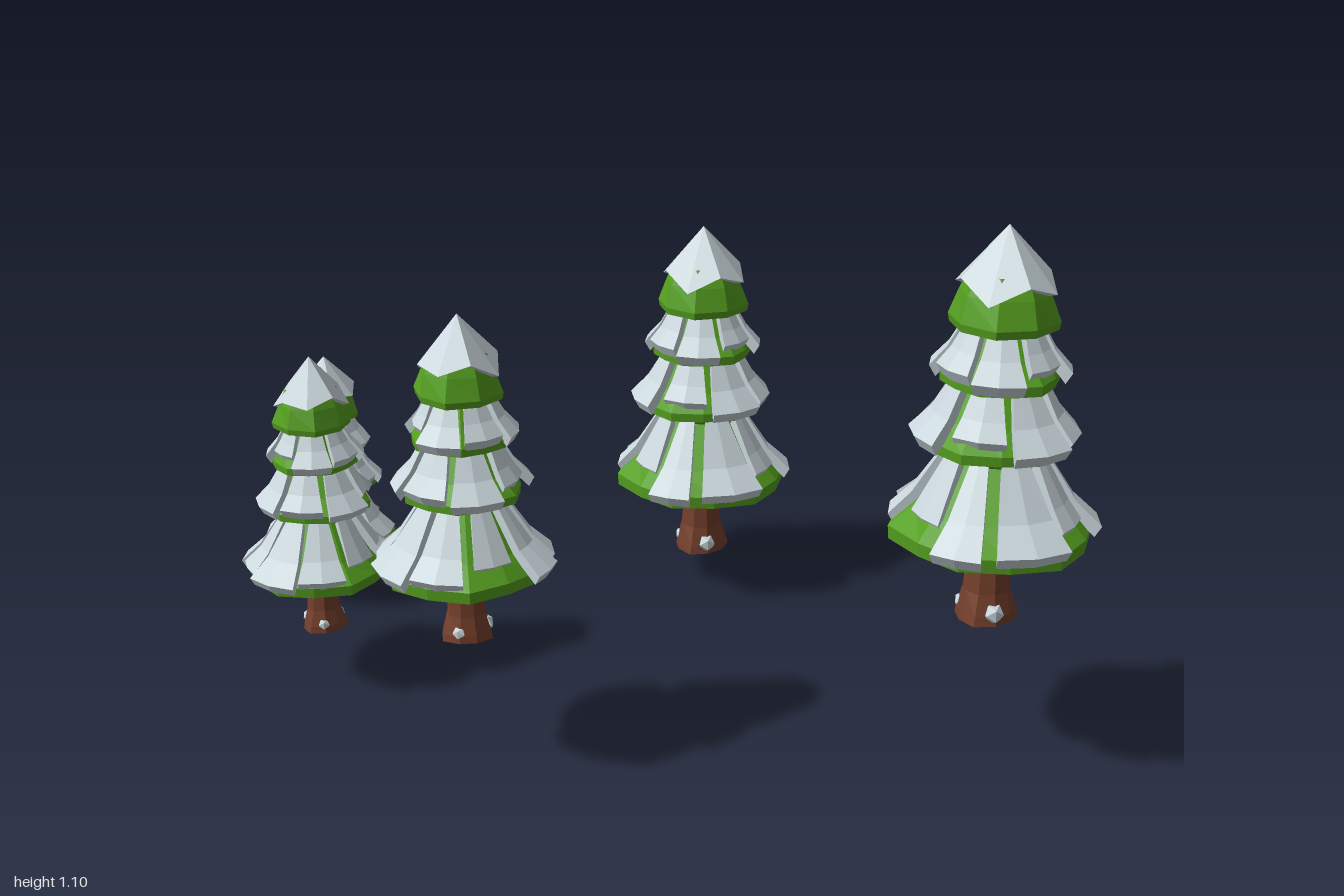
import * as THREE from 'three';

const mat = (name, color) => Object.assign(new THREE.MeshStandardMaterial({ color }), { name });
const SNOW = mat('snow', 0xcad7dc);
const LEAF = mat('needleGreen', 0x559f1f);
const BARK = mat('barkBrown', 0x743f2b);

const rad = THREE.MathUtils.degToRad;
// Point at angle a (degrees from +z towards +x), radius r and height y
const polar = (a, r, y) => [r * Math.sin(rad(a)), y, r * Math.cos(rad(a))];
// Corners: top left, bottom left, bottom right, top right as seen from outside
const quad = (out, a, b, c, d) => out.push(...a, ...b, ...c, ...a, ...c, ...d);

function flatMesh(name, positions, material) {
  const g = new THREE.BufferGeometry();
  g.setAttribute('position', new THREE.Float32BufferAttribute(positions, 3));
  g.computeVertexNormals();
  const m = new THREE.Mesh(g, material);
  m.name = name;
  return m;
}

// Tiers in units of tree height: three slope stations [radius, height], and the rim height
const TIERS = [
  { slope: [[0.105, 0.43], [0.185, 0.31], [0.25, 0.25]], rim: 0.215, turn: 0 },
  { slope: [[0.085, 0.63], [0.14, 0.535], [0.185, 0.485]], rim: 0.46, turn: 52 },
  { slope: [[0.06, 0.78], [0.11, 0.69], [0.148, 0.645]], rim: 0.62, turn: 118 },
];
// Snow flaps: [angle, half width, reach]
const LOWER_FLAPS = [[0, 13, 1.05], [42, 21, 1], [84, 15, 0.8], [123, 20, 1], [164, 19, 1.02],
  [201, 14, 0.97], [236, 20, 1.04], [277, 19, 0.94], [322, 17, 0.74]];
const UPPER_FLAPS = [[0, 22, 1.05], [52, 25, 1], [105, 21, 0.82], [155, 24, 1.04],
  [207, 23, 0.95], [258, 22, 1.05], [311, 22, 0.86]];
const WOBBLE = [1, 0.95, 1.02, 0.97, 1.03, 0.94];

// Green skirt: sloping top, upright rim, hollow underside
function skirt(out, { slope, rim, turn }) {
  const outer = slope[2][0] * 0.98;
  const rings = [...slope.slice(0, 2), [outer, slope[2][1]], [outer * 0.99, rim], [outer * 0.55, rim + 0.045], [0.03, rim + 0.07]];
  const n = 12;
  const at = (i, k) => polar(turn + (i * 360) / n, rings[k][0] * (k > 1 && k < 5 ? WOBBLE[i % 6] : 1), rings[k][1]);
  for (let i = 0; i < n; i++)
    for (let k = 0; k < rings.length - 1; k++)
      quad(out, at(i, k), at(i, k + 1), at(i + 1, k + 1), at(i + 1, k));
}

// Thick bent flap lying on the skirt, white above and green beneath
function flap(snow, leaf, tier, [angle, half, reach]) {
  const [inner, bend, tip] = tier.slope;
  const stations = [inner, bend, tip].map(([r, y], k) => {
    const f = 1 + (reach - 1) * (k / 2);
    return [r * f, y + (1 - f) * 0.12];
  });
  const spread = [0.8, 0.95, 1];
  const at = (k, side, top) => {
    const [r, y] = stations[k];
    return polar(tier.turn + angle + side * half * spread[k],
      r + (top ? 0.016 : 0), y + (top ? 0.016 : -0.012));
  };
  for (let k = 0; k < 2; k++) {
    for (const s of [-1, 0]) {
      quad(snow, at(k, s, 1), at(k + 1, s, 1), at(k + 1, s + 1, 1), at(k, s + 1, 1));
      quad(leaf, at(k, s, 0), at(k, s + 1, 0), at(k + 1, s + 1, 0), at(k + 1, s, 0));
    }
    quad(snow, at(k, -1, 0), at(k + 1, -1, 0), at(k + 1, -1, 1), at(k, -1, 1));
    quad(snow, at(k, 1, 1), at(k + 1, 1, 1), at(k + 1, 1, 0), at(k, 1, 0));
  }
  for (const s of [-1, 0]) quad(snow, at(2, s, 1), at(2, s, 0), at(2, s + 1, 0), at(2, s + 1, 1));
}

// Pointed snow cap with a ragged edge over a green collar
function crown() {
  const snow = [], leaf = [], n = 8;
  const drop = [0.83, 0.875, 0.845, 0.88, 0.825, 0.865, 0.85, 0.88];
  const edge = (i) => polar(i * 45, 0.118 + (0.88 - drop[i % n]) * 0.2, drop[i % n]);
  const under = (i) => polar(i * 45, 0.09, drop[i % n] - 0.008);
  const rings = [[0.085, 0.89], [0.108, 0.84], [0.132, 0.775], [0.128, 0.755], [0.03, 0.80]];
  const collar = (i, k) => polar(i * 45 + 10, rings[k][0] * (k === 2 || k === 3 ? WOBBLE[(i % n) % 6] : 1), rings[k][1]);
  for (let i = 0; i < n; i++) {
    snow.push(0, 1, 0, ...edge(i), ...edge(i + 1));
    quad(snow, edge(i), under(i), under(i + 1), edge(i + 1));
    for (let k = 0; k < 4; k++)
      quad(leaf, collar(i, k), collar(i, k + 1), collar(i + 1, k + 1), collar(i + 1, k));
  }
  const g = new THREE.Group();
  g.name = 'crown';
  g.add(flatMesh('crownSnow', snow, SNOW), flatMesh('crownNeedles', leaf, LEAF));
  return g;
}

function trunk() {
  const g = new THREE.Group();
  g.name = 'trunk';
  const profile = [[0.001, 0.004], [0.078, 0.004], [0.074, 0.025], [0.058, 0.08], [0.05, 0.18], [0.046, 0.40]];
  const lathe = new THREE.LatheGeometry(profile.map((p) => new THREE.Vector2(...p)), 9);
  // Root flare: alternate sides bulge near the ground
  const p = lathe.attributes.position;
  for (let i = 0; i < p.count; i++) {
    const x = p.getX(i), z = p.getZ(i), y = p.getY(i);
    const f = 1 + 0.1 * Math.cos(3 * Math.atan2(x, z)) * Math.max(0, 1 - y / 0.1);
    p.setXYZ(i, x * f, y, z * f);
  }
  g.add(flatMesh('bark', lathe.toNonIndexed().attributes.position.array, BARK));
  // Snow clumps against the roots
  for (const [a, s] of [[38, 1], [165, 0.85], [275, 0.8]]) {
    const clump = new THREE.Mesh(new THREE.IcosahedronGeometry(0.027, 0), SNOW);
    clump.name = 'rootSnow';
    clump.position.set(...polar(a, 0.06, 0.032));
    clump.scale.set(s, s * 1.05, s * 0.8);
    clump.rotation.y = rad(a);
    g.add(clump);
  }
  return g;
}

function makeTree() {
  const tree = new THREE.Group();
  tree.add(trunk(), crown());
  TIERS.forEach((tier, i) => {
    const snow = [], leaf = [];
    skirt(leaf, tier);
    for (const f of i ? UPPER_FLAPS : LOWER_FLAPS) flap(snow, leaf, tier, f);
    const g = new THREE.Group();
    g.name = 'branchTier' + (i + 1);
    g.add(flatMesh('needles', leaf, LEAF), flatMesh('snowFlaps', snow, SNOW));
    tree.add(g);
  });
  return tree;
}

export function createModel() {
  const model = new THREE.Group();
  model.name = 'snowyPines';
  const base = makeTree();
  // x, ground height, z, tree height, turn in degrees
  const spots = [
    [-0.837, 0, -0.1, 0.585, 180],
    [-0.62, 0.12, 0.31, 0.615, 115],
    [-0.16, 0.28, 0.525, 0.66, 90],
    [-0.05, 0.075, -0.5, 0.8, 0],
    [0.775, 0.305, 0.11, 0.797, -5],
  ];
  spots.forEach(([x, y, z, h, turn], i) => {
    const tree = base.clone();
    tree.name = 'pineTree' + (i + 1);
    tree.position.set(x, y, z);
    tree.scale.setScalar(h);
    tree.rotation.y = rad(turn);
    model.add(tree);
  });
  return model;
}
